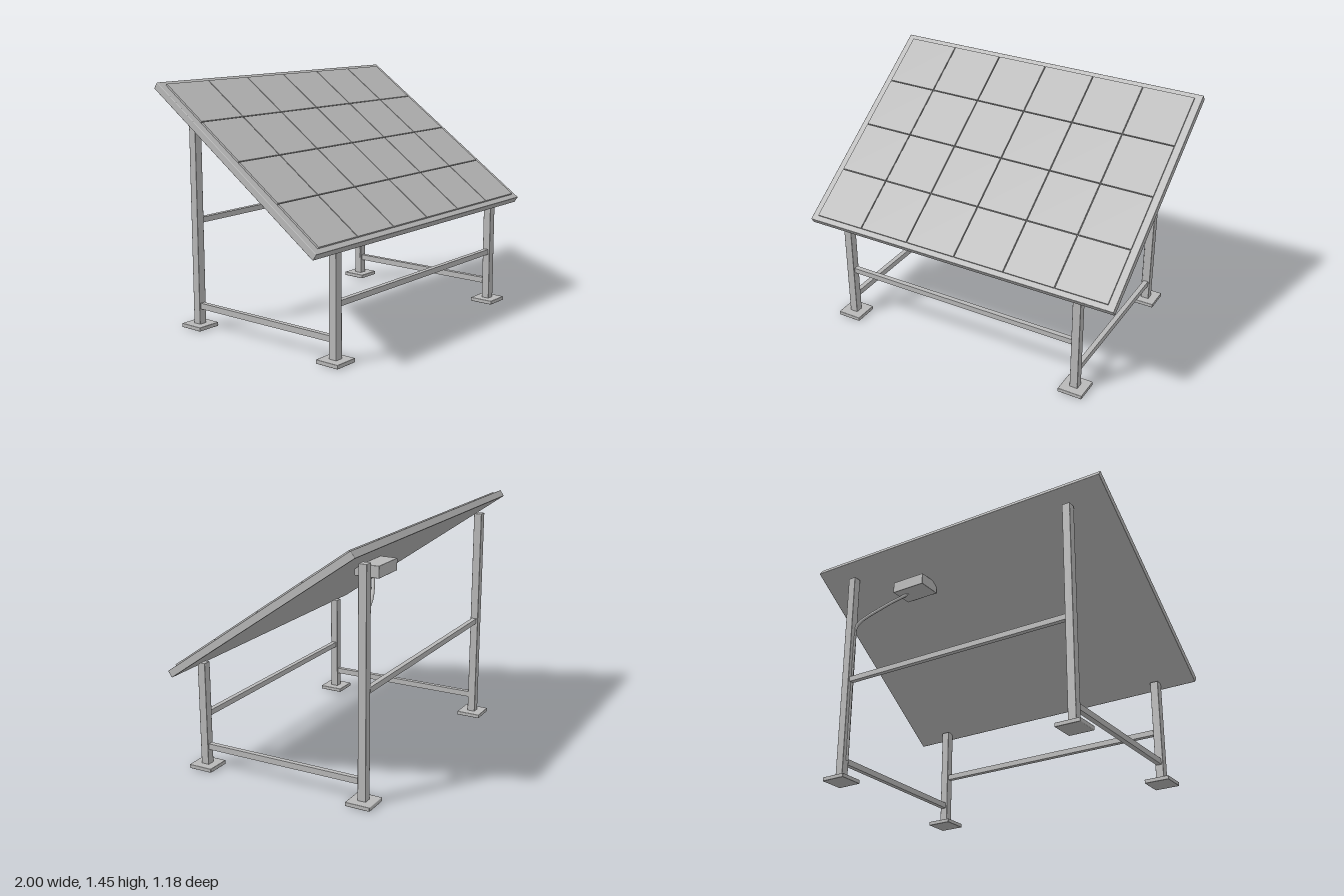
import * as THREE from 'three';
import { RoundedBoxGeometry } from 'three/addons/geometries/RoundedBoxGeometry.js';

export function createModel() {
  const model = new THREE.Group();
  model.name = 'solarPanelStand';
  const grey = new THREE.MeshStandardMaterial({ color: 0xb8b8b8 });
  grey.name = 'metalGrey';

  const add = (parent, name, geometry, x, y, z) => {
    const mesh = new THREE.Mesh(geometry, grey);
    mesh.name = name;
    mesh.position.set(x, y, z);
    parent.add(mesh);
    return mesh;
  };
  // Box with slightly softened edges
  const bar = (parent, name, w, h, d, x, y, z) =>
    add(parent, name, new RoundedBoxGeometry(w, h, d, 1, 0.004), x, y, z);

  const legX = 0.765, legZ = 0.515, legW = 0.05;

  // Legs, feet and side rails
  for (const s of [1, -1]) {
    const side = s > 0 ? 'left' : 'right';
    for (const [end, z, top] of [['Front', legZ, 0.642], ['Back', -legZ, 1.335]]) {
      bar(model, side + end + 'Leg', legW, top - 0.01, legW, s * legX, (top + 0.01) / 2, z);
      bar(model, side + end + 'Foot', 0.15, 0.024, 0.15, s * legX, 0.012, z);
    }
    add(model, side + 'SideRail', new THREE.BoxGeometry(0.03, 0.035, 2 * legZ - legW), s * legX, 0.132, 0);
  }

  // Cross rails
  const railLength = 2 * legX - legW;
  add(model, 'frontRail', new THREE.BoxGeometry(railLength, 0.032, 0.03), 0, 0.325, legZ);
  add(model, 'backRail', new THREE.BoxGeometry(railLength, 0.032, 0.03), 0, 0.64, -legZ);

  // Tilted panel with a grid of raised cells
  const panel = new THREE.Group();
  panel.name = 'panel';
  panel.position.set(0, 1.03, 0);
  panel.rotation.x = THREE.MathUtils.degToRad(35);
  model.add(panel);
  bar(panel, 'panelFrame', 2, 0.043, 1.4, 0, 0, 0);

  const cols = 6, rows = 4, pitchX = 0.32, pitchZ = 0.335, gap = 0.006;
  const cell = new THREE.BoxGeometry(pitchX - gap, 0.012, pitchZ - gap);
  for (let c = 0; c < cols; c++) {
    for (let r = 0; r < rows; r++) {
      add(panel, 'cell', cell, (c - (cols - 1) / 2) * pitchX, 0.0265, (r - (rows - 1) / 2) * pitchZ);
    }
  }

  // Junction box under the panel, with its cable running down the back leg
  bar(model, 'junctionBox', 0.22, 0.07, 0.15, 0.385, 1.22, -0.385);
  const path = new THREE.CatmullRomCurve3([
    new THREE.Vector3(0.4, 1.21, -0.375),
    new THREE.Vector3(0.575, 1.105, -0.46),
    new THREE.Vector3(0.738, 1.01, -0.497),
    new THREE.Vector3(0.742, 0.9, -0.505),
    new THREE.Vector3(0.742, 0.13, -0.505),
  ]);
  add(model, 'cable', new THREE.TubeGeometry(path, 32, 0.01, 8), 0, 0, 0);

  return model;
}
